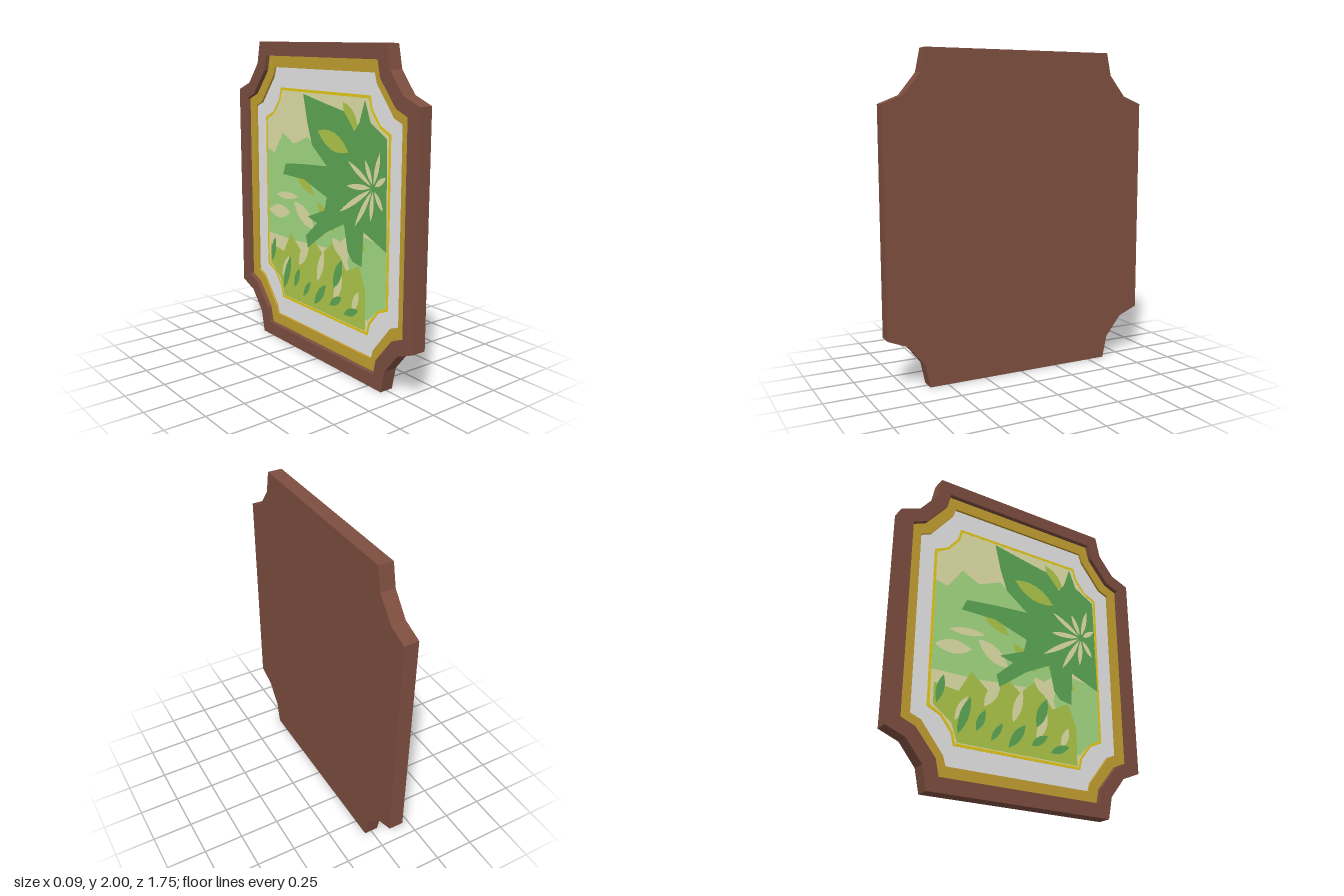
import * as THREE from 'three';

const mat = (name, color) => {
  const m = new THREE.MeshStandardMaterial({ color });
  m.name = name;
  return m;
};

// Closed notched outline, mirrored from one corner (side to top, measured from the centre)
function outline(corner) {
  const back = [...corner].reverse();
  return [
    ...corner,
    ...back.map(([x, y]) => [-x, y]),
    ...corner.map(([x, y]) => [-x, -y]),
    ...back.map(([x, y]) => [x, -y]),
  ].map(([x, y]) => new THREE.Vector2(x, y + 1));
}

const OUTER = outline([[0.875, 0.68], [0.75, 0.73], [0.645, 0.86], [0.615, 1]]);
const WOOD_INNER = outline([[0.788, 0.62], [0.697, 0.658], [0.567, 0.815], [0.545, 0.913]]);
const GOLD_INNER = outline([[0.72, 0.575], [0.652, 0.602], [0.508, 0.782], [0.49, 0.84]]);
const LINE_OUTER = outline([[0.617, 0.51], [0.53, 0.55], [0.46, 0.64], [0.442, 0.712]]);
const LINE_INNER = outline([[0.6, 0.497], [0.522, 0.538], [0.447, 0.632], [0.43, 0.695]]);

export function createModel() {
  const wood = mat('wood', 0x7d4e3f);
  const gold = mat('gold', 0xc4a02f);
  const white = mat('white mount', 0xf2f2f2);
  const yellow = mat('yellow line', 0xe8cc18);
  const tan = mat('pale tan', 0xe2e2a9);
  const green = mat('light green', 0xa4dc84);
  const olive = mat('olive', 0xafc84a);
  const leafGreen = mat('leaf green', 0x5ea955);

  const model = new THREE.Group();
  model.name = 'framedPicture';
  // Drawn in a local XY plane, then turned so that the picture faces -x
  const panel = new THREE.Group();
  panel.name = 'panel';
  panel.rotation.y = -Math.PI / 2;
  model.add(panel);

  const add = (name, geometry, material, z) => {
    const mesh = new THREE.Mesh(geometry, material);
    mesh.name = name;
    mesh.position.z = z;
    panel.add(mesh);
  };
  const slab = (name, points, hole, z0, z1, material) => {
    const shape = new THREE.Shape(points);
    if (hole) shape.holes.push(new THREE.Path(hole));
    add(name, new THREE.ExtrudeGeometry(shape, { depth: z1 - z0, bevelEnabled: false }), material, z0);
  };
  const plate = (name, points, z, material) =>
    add(name, new THREE.ShapeGeometry(new THREE.Shape(points.map(([x, y]) => new THREE.Vector2(x, y)))), material, z);
  // Pointed leaf blade from one end to the other
  const blade = (name, [x0, y0, x1, y1, w], z, material) => {
    const mx = (x0 + x1) / 2, my = (y0 + y1) / 2;
    const len = Math.hypot(x1 - x0, y1 - y0);
    const nx = (-(y1 - y0) / len) * w, ny = ((x1 - x0) / len) * w;
    const s = new THREE.Shape();
    s.moveTo(x0, y0);
    s.quadraticCurveTo(mx - nx, my - ny, x1, y1);
    s.quadraticCurveTo(mx + nx, my + ny, x0, y0);
    add(name, new THREE.ShapeGeometry(s, 6), material, z);
  };

  // Frame, stepping down towards the picture
  slab('backBoard', OUTER, null, -0.045, -0.005, wood);
  slab('woodFrame', OUTER, WOOD_INNER, -0.005, 0.045, wood);
  slab('goldTrim', WOOD_INNER, GOLD_INNER, -0.005, 0.015, gold);
  slab('mount', GOLD_INNER, null, -0.005, 0, white);
  slab('borderLine', LINE_OUTER, LINE_INNER, 0, 0.002, yellow);
  plate('pictureGround', LINE_INNER.map((p) => [p.x, p.y]), 0.0015, tan);

  // Soft background foliage
  plate('middleFoliage', [[-0.6, 0.72], [-0.3, 0.72], [0.1, 0.75], [0.3, 0.9], [0.3, 1.1], [0.1, 1.25],
    [-0.15, 1.42], [-0.3, 1.36], [-0.42, 1.42], [-0.52, 1.28], [-0.6, 1.3]], 0.003, green);
  plate('rightFoliage', [[0.36, 0.4], [0.44, 0.38], [0.52, 0.46], [0.6, 0.505], [0.6, 0.86], [0.3, 0.9], [0.25, 0.7]], 0.003, green);
  plate('lowerFoliage', [[-0.42, 0.31], [0.42, 0.31], [0.42, 0.56], [0.36, 0.7], [0.24, 0.64], [0.12, 0.8], [0, 0.7],
    [-0.1, 0.78], [-0.22, 0.66], [-0.34, 0.76], [-0.42, 0.62], [-0.58, 0.64], [-0.58, 0.51], [-0.46, 0.42]], 0.004, olive);

  const tanBlades = [
    [-0.59, 0.88, -0.34, 0.9, 0.09], [-0.5, 1.0, -0.25, 1.02, 0.05], [-0.3, 0.98, -0.08, 0.84, 0.1],
    [-0.25, 0.56, -0.14, 0.74, 0.07], [-0.05, 0.5, 0.02, 0.72, 0.06], [0.12, 0.42, 0.2, 0.6, 0.06],
    [0.1, 0.82, 0.24, 0.72, 0.08], [-0.44, 0.44, -0.36, 0.6, 0.05], [0.3, 0.4, 0.36, 0.54, 0.05],
  ];
  tanBlades.forEach((b, i) => blade('paleBlade' + i, b, 0.005, tan));
  const oliveBlades = [
    [-0.3, 1.2, -0.08, 1.06, 0.08], [-0.05, 1.02, 0.12, 0.86, 0.08], [0.2, 0.95, 0.42, 0.8, 0.1],
    [0.2, 1.66, 0.34, 1.5, 0.08], [0.46, 1.54, 0.56, 1.42, 0.06],
  ];
  oliveBlades.forEach((b, i) => blade('oliveBlade' + i, b, 0.005, olive));
  const darkBlades = [
    [-0.56, 0.52, -0.52, 0.7, 0.05], [-0.42, 0.36, -0.34, 0.6, 0.06], [-0.3, 0.4, -0.24, 0.54, 0.05],
    [-0.08, 0.34, 0.04, 0.5, 0.06], [0.12, 0.5, 0.2, 0.7, 0.07], [0.08, 0.38, 0.2, 0.46, 0.05],
    [0.22, 0.36, 0.36, 0.42, 0.05], [-0.2, 0.36, -0.12, 0.48, 0.04],
  ];
  darkBlades.forEach((b, i) => blade('darkBlade' + i, b, 0.006, leafGreen));

  // Large lobed leaf
  plate('largeLeaf', [[0.4, 1.685], [0.45, 1.56], [0.59, 1.48], [0.6, 0.836], [0.4, 0.917], [0.386, 0.7], [0.3, 0.715],
    [0.255, 0.766], [0.22, 0.93], [0.05, 0.847], [-0.147, 0.704], [-0.168, 0.78], [-0.05, 0.885], [-0.147, 0.91],
    [0.027, 0.98], [0.05, 1.066], [-0.19, 1.146], [-0.42, 1.147], [-0.386, 1.223], [-0.19, 1.243], [0.05, 1.26],
    [-0.1, 1.374], [-0.147, 1.508], [-0.19, 1.685], [0.05, 1.637], [0.21, 1.608], [0.31, 1.5], [0.353, 1.553]],
  0.006, leafGreen);
  blade('leafGap', [-0.04, 1.47, 0.26, 1.37, 0.11], 0.0075, olive);

  // Pale veins fanning out from the stem
  const hub = [0.48, 1.19];
  [[75, 0.22], [35, 0.13], [115, 0.17], [150, 0.26], [185, 0.24], [212, 0.36], [238, 0.3], [265, 0.2], [305, 0.15]]
    .forEach(([deg, len], i) => {
      const a = THREE.MathUtils.degToRad(deg), c = Math.cos(a), s = Math.sin(a);
      blade('leafVein' + i, [hub[0] + c * 0.02, hub[1] + s * 0.02, hub[0] + c * len, hub[1] + s * len, 0.035], 0.0075, tan);
    });

  return model;
}
